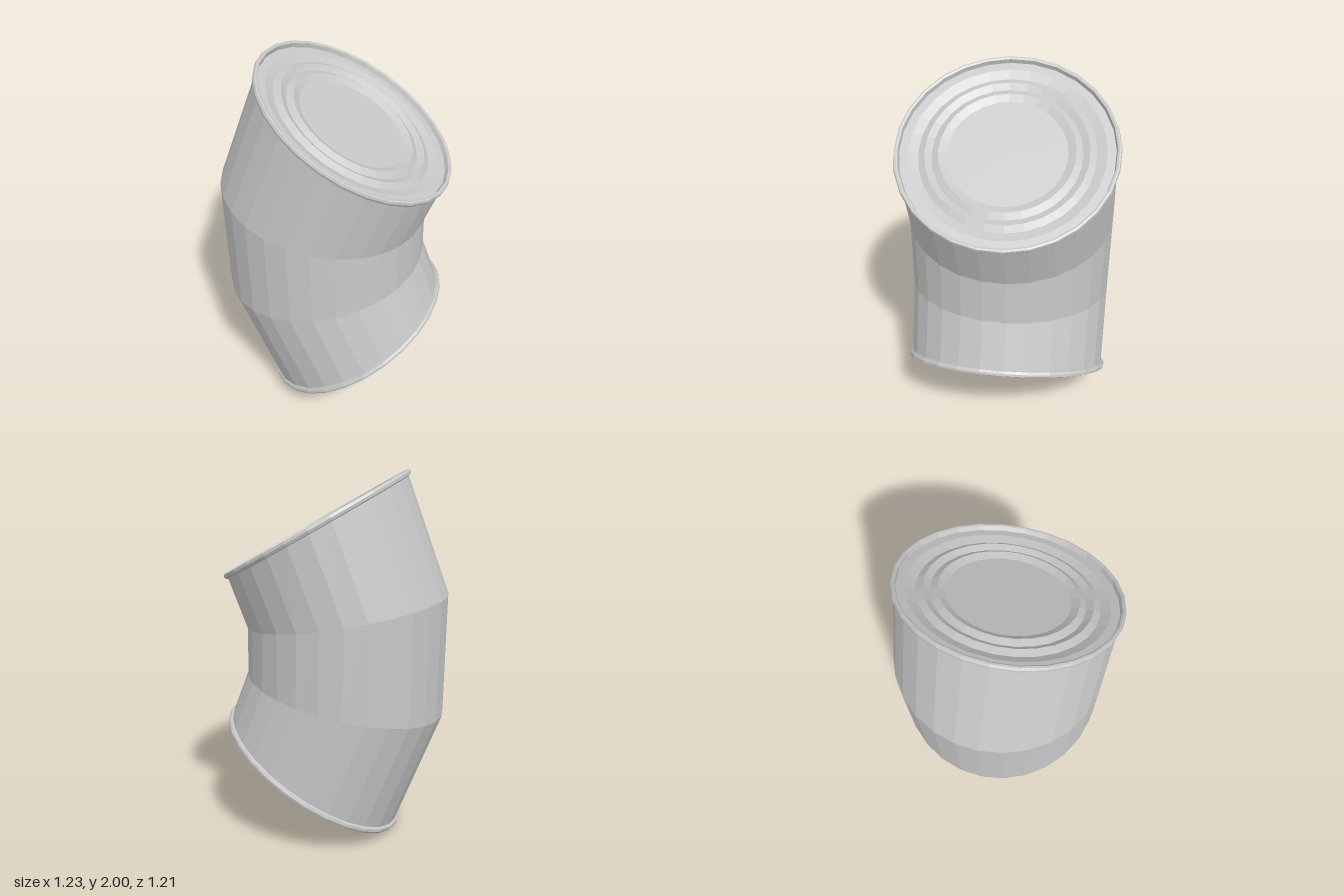
import * as THREE from 'three';

const SIDES = 28;
const UP = new THREE.Vector3(0, 1, 0);

// Centre, upward normal and radius of each cross-section of the bent tube
const SECTIONS = [
  { c: [0.097, 0.322, -0.055], n: [-0.45, 0.84, 0.31], r: 0.56 },
  { c: [-0.052, 0.777, 0.043], n: [-0.173, 0.98, 0.11], r: 0.56 },
  { c: [-0.06, 1.24, 0.045], n: [0.142, 0.98, -0.09], r: 0.56 },
  { c: [0.083, 1.702, -0.048], n: [0.41, 0.87, -0.28], r: 0.56 },
];

const tilt = (n) =>
  new THREE.Quaternion().setFromUnitVectors(UP, new THREE.Vector3(...n).normalize());

// Tube wall lofted through the tilted sections
function bodyGeometry() {
  const pos = [], index = [];
  for (const { c, n, r } of SECTIONS) {
    const q = tilt(n), centre = new THREE.Vector3(...c);
    for (let i = 0; i < SIDES; i++) {
      const a = (i / SIDES) * Math.PI * 2;
      const p = new THREE.Vector3(Math.sin(a) * r, 0, Math.cos(a) * r);
      pos.push(...p.applyQuaternion(q).add(centre).toArray());
    }
  }
  for (let k = 0; k < SECTIONS.length - 1; k++) {
    for (let i = 0; i < SIDES; i++) {
      const a = k * SIDES + i, b = k * SIDES + ((i + 1) % SIDES);
      index.push(a, b, b + SIDES, a, b + SIDES, a + SIDES);
    }
  }
  const g = new THREE.BufferGeometry();
  g.setAttribute('position', new THREE.Float32BufferAttribute(pos, 3));
  g.setIndex(index);
  g.computeVertexNormals();
  return g;
}

const lathe = (points) =>
  new THREE.LatheGeometry(points.map(([x, y]) => new THREE.Vector2(x, y)), SIDES);

export function createModel() {
  const model = new THREE.Group();
  model.name = 'bentCan';
  const metal = new THREE.MeshStandardMaterial({ color: 0xc8c8c8, flatShading: true });
  metal.name = 'grey metal';

  const add = (parent, name, geometry) => {
    const mesh = new THREE.Mesh(geometry, metal);
    mesh.name = name;
    parent.add(mesh);
  };

  add(model, 'body', bodyGeometry());

  // Raised seam and recessed, ribbed lid shared by both ends
  const rim = lathe([
    [0.558, -0.018], [0.573, -0.014], [0.578, 0], [0.574, 0.013],
    [0.565, 0.016], [0.555, 0.012], [0.55, -0.012],
  ]);
  const lid = lathe([
    [0.55, -0.012], [0.505, -0.012], [0.455, -0.028], [0.42, -0.01],
    [0.385, -0.028], [0.35, -0.01], [0.31, -0.028], [0, -0.028],
  ]);

  for (const [name, section, flip] of [['top', SECTIONS[3], 0], ['bottom', SECTIONS[0], Math.PI]]) {
    const end = new THREE.Group();
    end.name = name + 'End';
    end.position.set(...section.c);
    end.quaternion.copy(tilt(section.n));
    end.rotateX(flip);
    add(end, name + 'Rim', rim);
    add(end, name + 'Lid', lid);
    model.add(end);
  }
  return model;
}
